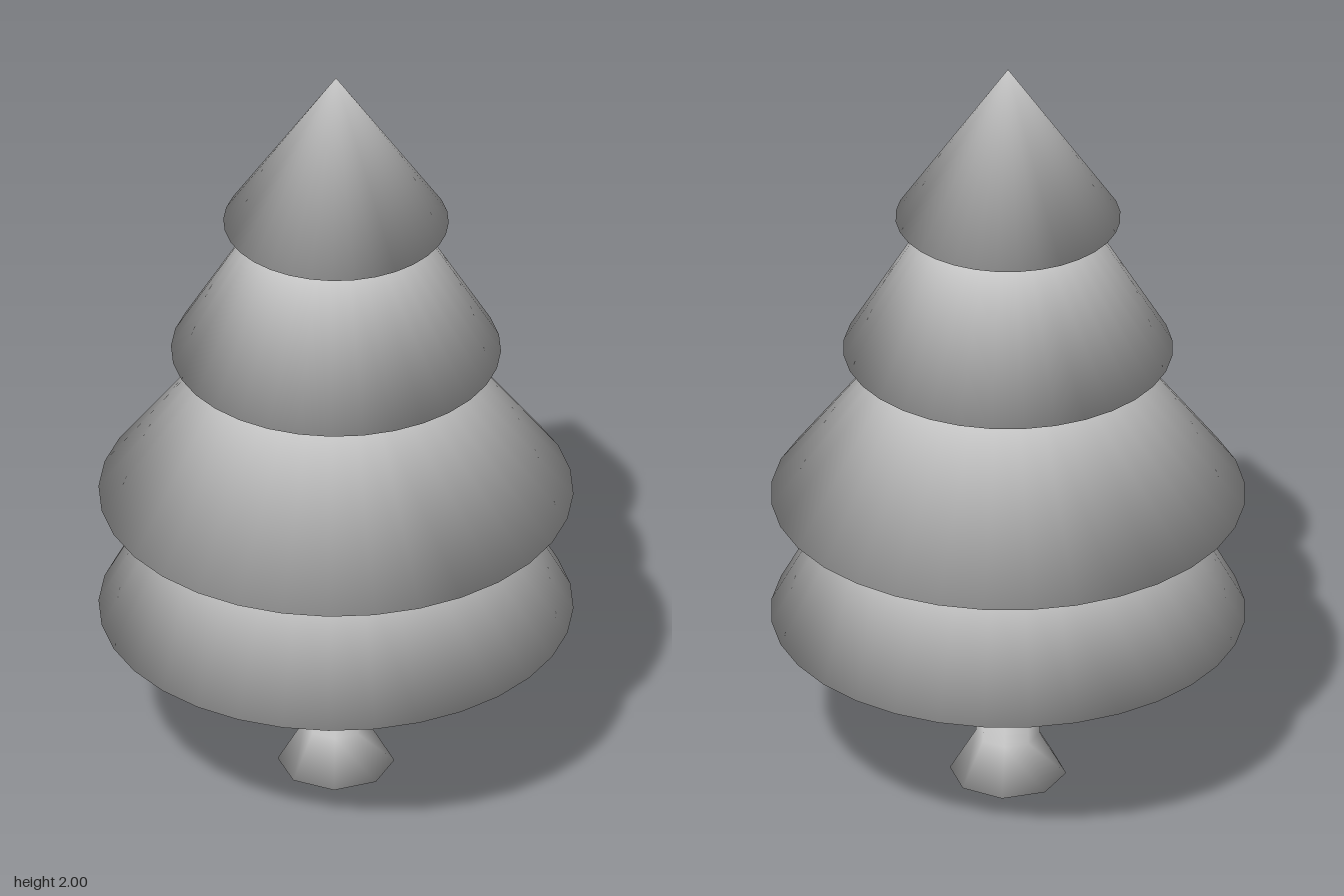
import * as THREE from 'three';

const material = new THREE.MeshStandardMaterial({ color: 0xcccccc });

// Closed solid of revolution from [radius, height] points, bottom to top.
// Normals are blended across every edge, rims included; each cap is a fan without a centre.
function turnedSolid(name, profile, sides) {
  const normalOf = ([r0, y0], [r1, y1]) => new THREE.Vector2(y1 - y0, r0 - r1).normalize();
  const positions = [], normals = [], indices = [];
  const last = profile.length - 1;

  profile.forEach(([r, y], i) => {
    const below = i > 0 ? normalOf(profile[i - 1], profile[i]) : new THREE.Vector2(0, -1);
    const above = i < last ? normalOf(profile[i], profile[i + 1]) : new THREE.Vector2(0, 1);
    const n = r === 0 ? new THREE.Vector2(0, 1) : below.add(above).normalize();
    for (let s = 0; s < sides; s++) {
      const a = (s / sides) * Math.PI * 2;
      positions.push(r * Math.sin(a), y, r * Math.cos(a));
      normals.push(n.x * Math.sin(a), n.y, n.x * Math.cos(a));
    }
  });

  // walls
  for (let i = 0; i < last; i++) {
    for (let s = 0; s < sides; s++) {
      const t = (s + 1) % sides;
      const a = i * sides + s, b = i * sides + t, c = a + sides, d = b + sides;
      indices.push(a, b, c);
      if (profile[i + 1][0] > 0) indices.push(b, d, c);
    }
  }
  // caps
  const top = last * sides;
  for (let s = 1; s < sides - 1; s++) {
    indices.push(0, s + 1, s);
    if (profile[last][0] > 0) indices.push(top, top + s, top + s + 1);
  }

  const geometry = new THREE.BufferGeometry();
  geometry.setAttribute('position', new THREE.Float32BufferAttribute(positions, 3));
  geometry.setAttribute('normal', new THREE.Float32BufferAttribute(normals, 3));
  geometry.setIndex(indices);
  const mesh = new THREE.Mesh(geometry, material);
  mesh.name = name;
  return mesh;
}

export function createModel() {
  const tree = new THREE.Group();
  tree.name = 'firTree';

  // trunk with a flared foot
  tree.add(turnedSolid('trunk', [[0.145, 0], [0.08, 0.11], [0.07, 0.47]], 8));

  // foliage tiers: bottom radius, bottom height, top radius, top height
  const tiers = [
    ['lowestTier', 0.59, 0.455, 0.41, 0.79],
    ['lowerTier', 0.59, 0.79, 0.28, 1.205],
    ['upperTier', 0.41, 1.205, 0.19, 1.58],
    ['treetop', 0.28, 1.58, 0, 2],
  ];
  for (const [name, r0, y0, r1, y1] of tiers) {
    tree.add(turnedSolid(name, [[r0, y0], [r1, y1]], 32));
  }
  return tree;
}
